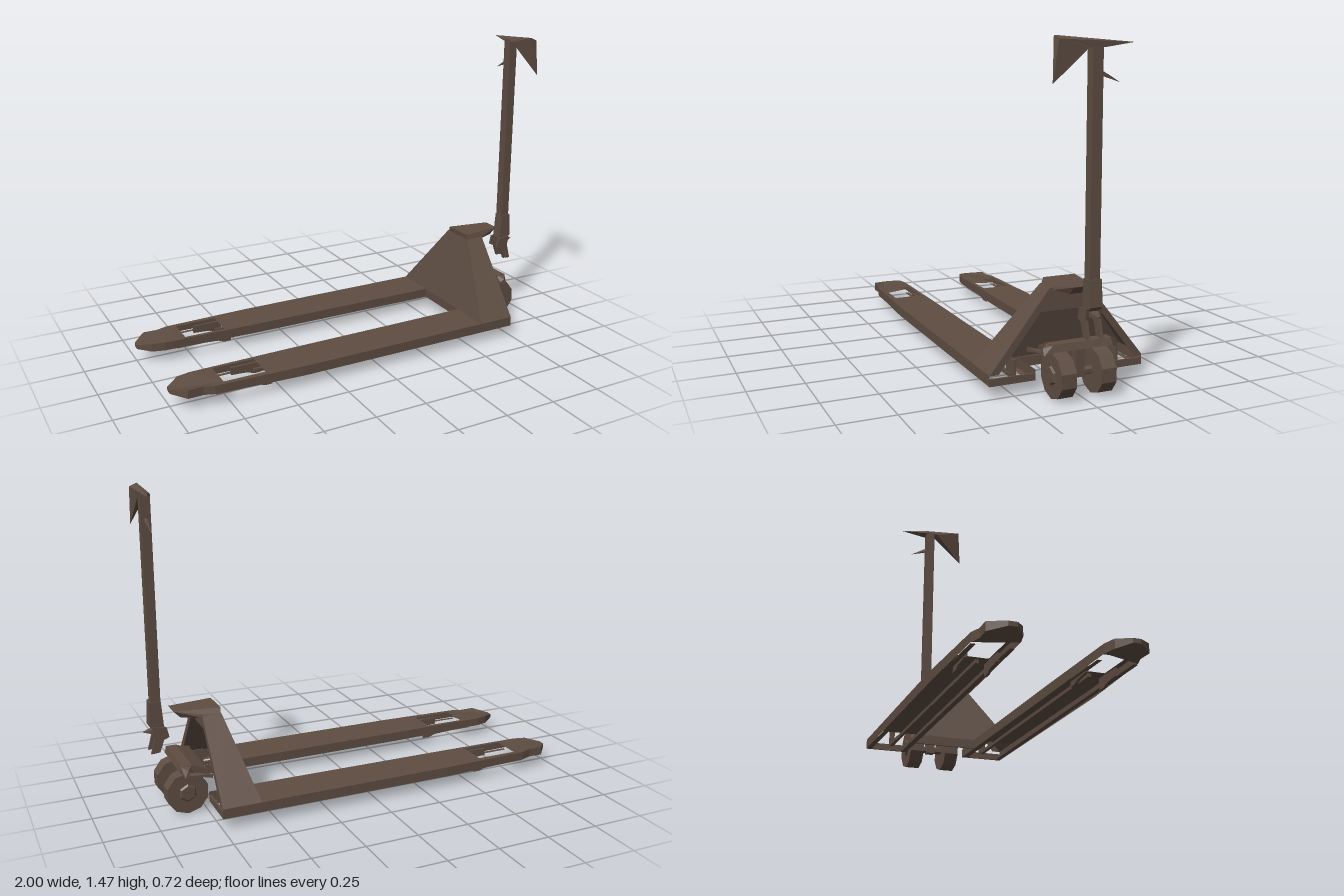
import * as THREE from 'three';
import { ConvexGeometry } from 'three/addons/geometries/ConvexGeometry.js';

export function createModel() {
  const root = new THREE.Group();
  root.name = 'palletJack';
  const paint = new THREE.MeshStandardMaterial({ color: 0x5e4d42 });
  paint.name = 'brownPaint';
  paint.flatShading = true;
  paint.side = THREE.DoubleSide;

  const add = (parent, name, geometry, x = 0, y = 0, z = 0) => {
    const mesh = new THREE.Mesh(geometry, paint);
    mesh.name = name;
    mesh.position.set(x, y, z);
    parent.add(mesh);
    return mesh;
  };
  // Solid block from its lower and upper limits
  const block = (parent, name, x0, x1, y0, y1, z0, z1) =>
    add(parent, name, new THREE.BoxGeometry(x1 - x0, y1 - y0, z1 - z0),
      (x0 + x1) / 2, (y0 + y1) / 2, (z0 + z1) / 2);
  // Faceted solid around a few corners
  const hull = (parent, name, points) =>
    add(parent, name, new ConvexGeometry(points.map(p => new THREE.Vector3(...p))));
  // Sheet metal: each polygon becomes a triangle fan
  const sheet = (parent, name, polygons) => {
    const out = [];
    for (const p of polygons)
      for (let i = 1; i < p.length - 1; i++) out.push(...p[0], ...p[i], ...p[i + 1]);
    const g = new THREE.BufferGeometry();
    g.setAttribute('position', new THREE.Float32BufferAttribute(out, 3));
    g.computeVertexNormals();
    return add(parent, name, g);
  };
  // Side profile in x and y, extruded across z
  const profile = (parent, name, points, z0, z1) => {
    const s = new THREE.Shape(points.map(p => new THREE.Vector2(...p)));
    return add(parent, name,
      new THREE.ExtrudeGeometry(s, { depth: z1 - z0, bevelEnabled: false }), 0, 0, z0);
  };

  // Forks: open channels with a roller window near the tip
  const outline = [[-1, 0.23], [-0.94, 0.185], [-0.88, 0.17], [-0.4, 0.162], [0.57, 0.154], [0.75, 0.152],
    [0.75, 0.36], [0.57, 0.36], [-0.4, 0.36], [-0.82, 0.345], [-0.87, 0.328], [-0.94, 0.33], [-1, 0.265]];
  const topY = x => (x < -0.97 ? 0.087 : 0.1);
  const lowY = x => (x < -0.97 ? 0.068 : x < -0.8 ? 0.06 : 0.054);
  function fork() {
    const g = new THREE.Group();
    const path = pts => pts.map(([x, z]) => new THREE.Vector2(x, -z));
    const shape = new THREE.Shape(path(outline.filter(p => p[0] < 0.6)));
    shape.holes.push(new THREE.Path(path([[-0.775, 0.185], [-0.775, 0.325], [-0.575, 0.325], [-0.575, 0.185]])));
    const top = new THREE.ShapeGeometry(shape).rotateX(-Math.PI / 2);
    const pos = top.attributes.position;
    for (let i = 0; i < pos.count; i++) pos.setY(i, topY(pos.getX(i)));
    top.computeVertexNormals();
    add(g, 'forkTop', top);

    const walls = [];
    outline.forEach(([x, z], i) => {
      const [u, w] = outline[(i + 1) % outline.length];
      if (x === 0.75 && u === 0.75) return;
      walls.push([[x, topY(x), z], [u, topY(u), w], [u, lowY(u), w], [x, lowY(x), z]]);
    });
    sheet(g, 'forkSides', walls);
    sheet(g, 'tipUnderside', [outline.filter(p => p[0] < -0.8).map(([x, z]) => [x, lowY(x), z])]);
    sheet(g, 'forkLips', [
      [[-0.82, 0.056, 0.17], [0.75, 0.054, 0.152], [0.75, 0.054, 0.18], [-0.82, 0.056, 0.19]],
      [[-0.82, 0.056, 0.325], [0.75, 0.054, 0.335], [0.75, 0.054, 0.36], [-0.82, 0.056, 0.345]]]);
    block(g, 'forkEndLip', 0.74, 0.75, 0.054, 0.085, 0.152, 0.36);
    // Roller carriers under the window
    for (const z of [0.188, 0.318])
      profile(g, 'rollerCarrier', [[-0.69, 0.085], [-0.69, 0.05], [-0.61, 0.045], [-0.58, 0.033],
        [-0.545, 0.033], [-0.545, 0.085]], z - 0.006, z + 0.006);
    block(g, 'liftRod', -0.6, 0.7, 0.066, 0.082, 0.235, 0.25);
    // Push link between fork and pump
    hull(g, 'pushLink', [[0.74, 0.18, 0.18], [0.74, 0.2, 0.19], [0.84, 0.2, 0.165],
      [0.84, 0.215, 0.17], [0.74, 0.18, 0.19], [0.84, 0.2, 0.175]]);
    block(g, 'rib', 0.66, 0.74, 0.08, 0.15, 0.238, 0.246);
    return g;
  }
  for (const [name, s] of [['leftFork', 1], ['rightFork', -1]]) {
    const f = fork();
    f.name = name;
    f.scale.z = s;
    root.add(f);
  }

  // Pump housing: tapering shell, open at the wheel end
  const body = new THREE.Group();
  body.name = 'pumpHousing';
  root.add(body);
  const A = [0.57, 0.1, -0.36], B = [0.57, 0.1, 0.36], C = [0.66, 0.44, 0.09], D = [0.66, 0.44, -0.09];
  const E = [0.75, 0.1, 0.36], F = [0.75, 0.44, 0.09], G = [0.75, 0.44, -0.09], H = [0.75, 0.1, -0.36];
  sheet(body, 'housingShell', [[A, B, C, D], [B, E, F, C], [H, A, D, G], [D, C, F, G],
    [E, [0.75, 0.1, 0.32], [0.75, 0.44, 0.055], F], [H, G, [0.75, 0.44, -0.055], [0.75, 0.1, -0.32]]]);
  sheet(body, 'upperPlate', [[[0.71, 0.33, 0.177], [0.71, 0.33, -0.177], [0.71, 0.44, -0.09], [0.71, 0.44, 0.09]]]);
  block(body, 'crossMember', 0.57, 0.58, 0.056, 0.1, -0.16, 0.16);
  hull(body, 'topBracket', [
    [0.66, 0.465, 0.075], [0.66, 0.465, -0.075], [0.665, 0.43, 0.09], [0.665, 0.43, -0.09],
    [0.75, 0.43, 0.075], [0.75, 0.43, -0.075],
    [0.87, 0.465, 0.045], [0.87, 0.465, -0.045], [0.835, 0.43, 0.04], [0.835, 0.43, -0.04]]);

  // Steering wheels and yoke
  const steer = new THREE.Group();
  steer.name = 'steering';
  root.add(steer);
  for (const s of [1, -1]) {
    const wheel = new THREE.CylinderGeometry(0.098, 0.098, 0.068, 10).rotateX(Math.PI / 2);
    add(steer, 'wheel', wheel, 0.84, 0.098, s * 0.092);
    const hub = new THREE.CylinderGeometry(0.035, 0.045, 0.01, 6).rotateX(s * Math.PI / 2);
    add(steer, 'wheelHub', hub, 0.84, 0.1, s * 0.129);
    hull(steer, 'yokeArm', [[0.82, 0.235, s * 0.135], [0.87, 0.235, s * 0.135], [0.82, 0.205, s * 0.14],
      [0.87, 0.205, s * 0.14], [0.83, 0.19, s * 0.17], [0.86, 0.19, s * 0.17], [0.845, 0.22, s * 0.168]]);
  }
  add(steer, 'axle', new THREE.CylinderGeometry(0.018, 0.018, 0.14, 6).rotateX(Math.PI / 2), 0.84, 0.1, 0);
  block(steer, 'steeringPost', 0.815, 0.855, 0.08, 0.215, -0.02, 0.02);
  profile(steer, 'yoke', [[0.75, 0.175], [0.8, 0.195], [0.875, 0.205], [0.865, 0.235], [0.82, 0.235], [0.75, 0.205]],
    -0.14, 0.14);

  // Tow bar with clevis, lever and grip
  const bar = new THREE.Group();
  bar.name = 'towBar';
  root.add(bar);
  block(bar, 'handleShaft', 0.92, 0.963, 0.48, 1.44, -0.023, 0.023);
  profile(bar, 'handleSocket', [[0.92, 0.515], [0.97, 0.515], [0.977, 0.405], [0.95, 0.38], [0.91, 0.39]], -0.028, 0.028);
  for (const s of [1, -1])
    profile(bar, 'clevisCheek', [[0.9, 0.39], [0.965, 0.4], [0.955, 0.35], [0.975, 0.275], [0.935, 0.278],
      [0.915, 0.335], [0.89, 0.345]], s * 0.03 - 0.006, s * 0.03 + 0.006);
  hull(bar, 'footPedal', [[0.955, 0.385, 0.02], [0.955, 0.385, -0.02], [0.955, 0.362, 0.02],
    [0.955, 0.362, -0.02], [1, 0.372, 0.006], [1, 0.372, -0.006]]);
  hull(bar, 'releaseLever', [[0.935, 1.335, -0.02], [0.95, 1.335, -0.02], [0.935, 1.315, -0.02],
    [0.95, 1.315, -0.02], [0.945, 1.285, -0.11]]);
  hull(bar, 'gripBar', [[0.93, 1.466, 0.175], [0.965, 1.452, 0.17], [0.92, 1.43, 0.04], [0.963, 1.42, 0.03],
    [0.92, 1.43, -0.03], [0.963, 1.42, -0.03], [0.965, 1.44, -0.16], [0.93, 1.447, -0.03]]);
  hull(bar, 'gripWing', [[0.93, 1.466, 0.175], [0.965, 1.452, 0.17], [0.92, 1.43, 0.04],
    [0.96, 1.42, 0.035], [0.963, 1.283, 0.195]]);
  return root;
}
